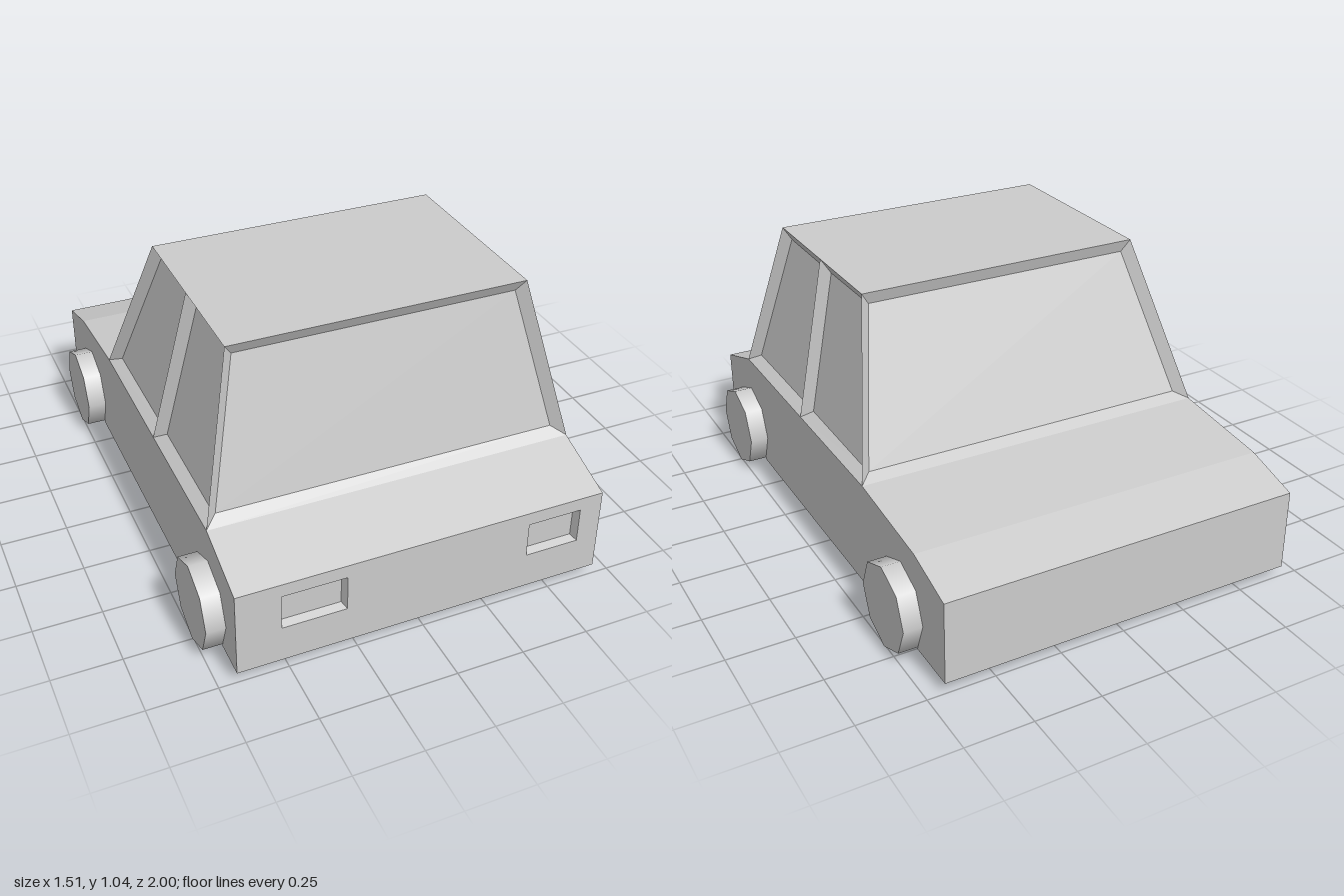
import * as THREE from 'three';

const material = new THREE.MeshStandardMaterial({ color: 0xcccccc, flatShading: true });
const smoothMaterial = new THREE.MeshStandardMaterial({ color: 0xcccccc });
const V = (x, y, z) => new THREE.Vector3(x, y, z);

// Mesh from quads, each four corners counter-clockwise seen from outside
function quadMesh(name, quads) {
  const pos = [];
  for (const [a, b, c, d] of quads) {
    for (const p of [a, b, c, a, c, d]) pos.push(p.x, p.y, p.z);
  }
  const geo = new THREE.BufferGeometry();
  geo.setAttribute('position', new THREE.Float32BufferAttribute(pos, 3));
  geo.computeVertexNormals();
  return named(name, geo);
}

function named(name, geo, mat = material) {
  const mesh = new THREE.Mesh(geo, mat);
  mesh.name = name;
  return mesh;
}

// Recessed panel: sloping border quads plus the sunken pane
function insetQuads(corners, margin, depth) {
  const edge = (i, j) => corners[j].clone().sub(corners[i]).normalize();
  const normal = edge(0, 1).cross(edge(0, 3)).normalize();
  const inner = corners.map((p, i) => p.clone()
    .addScaledVector(edge(i, (i + 1) % 4), margin)
    .addScaledVector(edge(i, (i + 3) % 4), margin)
    .addScaledVector(normal, -depth));
  const border = corners.map((p, i) => {
    const j = (i + 1) % 4;
    return [p, corners[j], inner[j], inner[i]];
  });
  return [...border, inner];
}

export function createModel() {
  const car = new THREE.Group();
  car.name = 'car';
  const W = 0.685, floor = 0.04, R = 0.16;
  const axles = [-0.685, 0.747];

  // Side profile in (z, y), with an octagonal wheel tunnel at each axle
  const tunnel = (z) => Array.from({ length: 7 }, (_, i) => {
    const a = (225 - 45 * i) * Math.PI / 180;
    const end = i === 0 || i === 6;
    return [z + R * Math.cos(a), end ? floor : R + R * Math.sin(a)];
  });
  const profile = [
    [-1, floor], ...tunnel(axles[0]), ...tunnel(axles[1]), [1, floor],
    [1, 0.365], [0.75, 0.45], [-0.39, 0.45], [-0.79, 0.41], [-1, 0.35],
  ];

  // Body sides
  for (const s of [-1, 1]) {
    const shape = new THREE.Shape(profile.map(([z, y]) => new THREE.Vector2(-s * z, y)));
    const geo = new THREE.ShapeGeometry(shape).rotateY(s * Math.PI / 2).translate(s * W, 0, 0);
    car.add(named(s > 0 ? 'leftBodySide' : 'rightBodySide', geo));
  }

  // Bonnet, boot, underside and tunnels (the nose is made separately)
  const shell = [];
  profile.forEach(([z, y], i) => {
    const [z2, y2] = profile[(i + 1) % profile.length];
    if (z === 1 && z2 === 1) return;
    shell.push([V(-W, y, z), V(W, y, z), V(W, y2, z2), V(-W, y2, z2)]);
  });
  car.add(quadMesh('bodyShell', shell));

  // Nose with recessed headlights
  const rect = (x0, x1, y0, y1) => [[x0, y0], [x1, y0], [x1, y1], [x0, y1]];
  const toPoints = (r) => r.map(([x, y]) => new THREE.Vector2(x, y));
  const nose = new THREE.Shape(toPoints(rect(-W, W, floor, 0.365)));
  const lights = { rightHeadlight: [-0.525, -0.29], leftHeadlight: [0.395, 0.6] };
  for (const [name, [x0, x1]] of Object.entries(lights)) {
    const r = rect(x0, x1, 0.18, 0.315);
    nose.holes.push(new THREE.Path(toPoints(r)));
    car.add(quadMesh(name, insetQuads(r.map(([x, y]) => V(x, y, 1)), 0.01, 0.03)));
  }
  car.add(named('nose', new THREE.ShapeGeometry(nose).translate(0, 0, 1)));

  // Cabin: tapered, every window sunk between its edges
  const base = (x, z) => V(x * W, 0.45, z);
  const top = (x, z) => V(x * 0.55, 1.04, z);
  const [bf, bm, bb] = [0.75, 0.18, -0.39];
  const [tf, tm, tb] = [0.608, 0.23, -0.14];
  const margin = 0.038, depth = 0.033;
  const pane = (name, corners) => car.add(quadMesh(name, insetQuads(corners, margin, depth)));
  car.add(quadMesh('roof', [[top(-1, tf), top(1, tf), top(1, tb), top(-1, tb)]]));
  pane('windscreen', [base(-1, bf), base(1, bf), top(1, tf), top(-1, tf)]);
  pane('rearWindow', [base(1, bb), base(-1, bb), top(-1, tb), top(1, tb)]);
  for (const s of [-1, 1]) {
    const side = s > 0 ? 'left' : 'right';
    const windows = [['Front', bf, bm, tf, tm], ['Rear', bm, bb, tm, tb]];
    for (const [place, b0, b1, t0, t1] of windows) {
      const c = [base(s, b0), base(s, b1), top(s, t1), top(s, t0)];
      pane(side + place + 'Window', s > 0 ? c : c.reverse());
    }
  }

  // Eight-sided wheels
  for (const z of axles) {
    for (const s of [-1, 1]) {
      const geo = new THREE.CylinderGeometry(R, R, 0.08, 8).rotateZ(Math.PI / 2);
      const wheel = named((z > 0 ? 'front' : 'rear') + (s > 0 ? 'Left' : 'Right') + 'Wheel', geo, smoothMaterial);
      wheel.position.set(s * 0.715, R, z);
      car.add(wheel);
    }
  }
  return car;
}
